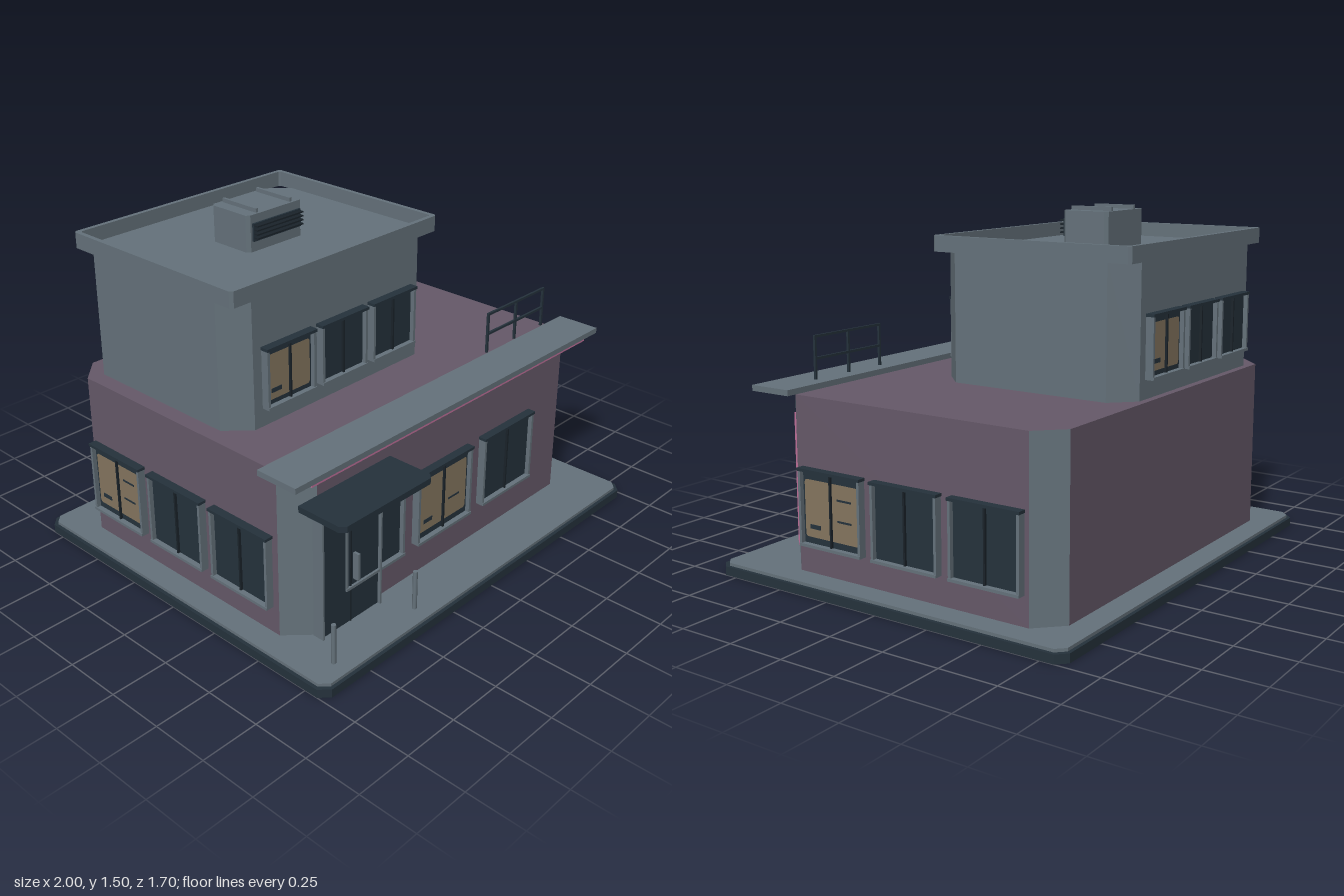
import * as THREE from 'three';

const mat = (name, color) => {
  const m = new THREE.MeshStandardMaterial({ color });
  m.name = name;
  return m;
};

export function createModel() {
  const slate = mat('slate', 0x65727b);
  const plum = mat('plum', 0x665969);
  const dark = mat('dark navy', 0x25323c);
  const black = mat('near black', 0x1a232a);
  const warm = mat('warm light', 0x85765f);
  const pink = mat('pink light', 0xc0709a);

  const model = new THREE.Group();
  model.name = 'building';

  const add = (parent, name, geo, material) => {
    const m = new THREE.Mesh(geo, material);
    m.name = name;
    parent.add(m);
    return m;
  };
  // Box given by its ranges on each axis
  const box = (parent, name, material, x0, x1, y0, y1, z0, z1) => {
    const m = add(parent, name, new THREE.BoxGeometry(x1 - x0, y1 - y0, z1 - z0), material);
    m.position.set((x0 + x1) / 2, (y0 + y1) / 2, (z0 + z1) / 2);
    return m;
  };
  // Plan outline with cut corners (front corners cf, back corners cb)
  const outline = (x0, x1, z0, z1, cf, cb = cf) => [
    [x0 + cf, z1], [x1 - cf, z1], [x1, z1 - cf], [x1, z0 + cb],
    [x1 - cb, z0], [x0 + cb, z0], [x0, z0 + cb], [x0, z1 - cf],
  ].map(([x, z]) => new THREE.Vector2(x, -z));
  const prism = (points, y0, y1, hole) => {
    const shape = new THREE.Shape(points);
    if (hole) shape.holes.push(new THREE.Path(hole));
    const g = new THREE.ExtrudeGeometry(shape, { depth: y1 - y0, bevelEnabled: false });
    return g.rotateX(-Math.PI / 2).translate(0, y0, 0);
  };

  // Base and paving
  add(model, 'base', prism(outline(-1, 1, -0.85, 0.85, 0.04), 0, 0.037), dark);
  add(model, 'paving', prism(outline(-0.985, 0.985, -0.835, 0.835, 0.035), 0.037, 0.05), slate);

  // Ground floor: plum walls, slate cut corners
  const lower = prism(outline(-0.88, 0.88, -0.73, 0.6, 0.105), 0.05, 0.78);
  lower.clearGroups();
  const n = lower.attributes.normal;
  for (let i = 0; i < n.count; i += 3) {
    const corner = Math.abs(n.getX(i)) > 0.3 && Math.abs(n.getZ(i)) > 0.3;
    lower.addGroup(i, 3, corner ? 1 : 0);
  }
  add(model, 'groundFloor', lower, [plum, slate]);

  // Upper floor with a square parapet ring
  add(model, 'upperFloor', prism(outline(-0.81, 0.325, -0.7, 0.213, 0.095), 0.78, 1.325), slate);
  add(model, 'parapet', prism(outline(-0.822, 0.337, -0.712, 0.225, 0.012), 1.32, 1.387,
    outline(-0.802, 0.317, -0.692, 0.205, 0.008)), slate);

  // Window facing +z, centred on x = 0, standing on y = 0
  const roundRect = (w, h, r) => {
    const s = new THREE.Shape();
    const a = w / 2 - r, b = h / 2 - r;
    s.absarc(a, b, r, 0, Math.PI / 2);
    s.absarc(-a, b, r, Math.PI / 2, Math.PI);
    s.absarc(-a, -b, r, Math.PI, Math.PI * 1.5);
    s.absarc(a, -b, r, Math.PI * 1.5, Math.PI * 2);
    return new THREE.ShapeGeometry(s, 3);
  };
  const makeWindow = (w, h, lit, shelves) => {
    const g = new THREE.Group();
    g.name = lit ? 'litWindow' : 'window';
    const a = w / 2, t = 0.012;
    box(g, 'pane', dark, -a + t, a - t, t, h - t, -0.01, 0.015);
    for (const s of [-1, 1]) {
      const c = s * (a - t / 2);
      box(g, 'frameSide', slate, c - t / 2, c + t / 2, 0, h - t, -0.01, 0.034);
    }
    box(g, 'sill', slate, -a, a, 0, t, -0.01, 0.038);
    box(g, 'lintel', dark, -a - 0.003, a + 0.003, h - t, h, -0.01, 0.038);
    box(g, 'mullion', black, -0.004, 0.004, t, h - t, 0.01, 0.026);
    if (lit) {
      const glow = add(g, 'glow', roundRect(w - 0.04, h * 0.74, 0.014), warm);
      glow.position.set(0, h * 0.49, 0.0165);
      const bx = -w * 0.27;
      box(g, 'desk', dark, bx - 0.027, bx + 0.027, h * 0.23, h * 0.23 + 0.018, 0.015, 0.0185);
      for (const f of shelves) {
        box(g, 'shelf', dark, w * 0.21 - 0.036, w * 0.21 + 0.036, h * f, h * f + 0.008, 0.015, 0.0185);
      }
    }
    return g;
  };
  // Row of three windows along a wall; lit is the index of the lit one
  const windowRow = (name, x, y, z, turn, step, w, h, lit, shelves) => {
    const row = new THREE.Group();
    row.name = name;
    for (let i = 0; i < 3; i++) {
      const win = makeWindow(w, h, i === lit, shelves);
      win.position.x = (i - 1) * step;
      row.add(win);
    }
    row.position.set(x, y, z);
    row.rotation.y = turn;
    model.add(row);
  };
  const q = Math.PI / 2;
  windowRow('frontWindows', -0.052, 0.203, 0.6, 0, 0.428, 0.345, 0.327, 1, [0.38]);
  windowRow('leftWindows', 0.88, 0.17, -0.07, q, 0.375, 0.32, 0.322, 0, [0.38, 0.65]);
  windowRow('rightWindows', -0.88, 0.17, -0.07, -q, 0.375, 0.32, 0.322, 0, [0.38, 0.65]);
  windowRow('upperFrontWindows', -0.242, 0.858, 0.213, 0, 0.299, 0.262, 0.26, 0, []);
  windowRow('upperBackWindows', -0.242, 0.858, -0.7, Math.PI, 0.299, 0.262, 0.26, 0, []);

  // Entrance: double door, frame and handle
  box(model, 'door', dark, -0.782, -0.463, 0.05, 0.6, 0.59, 0.628);
  for (const x of [-0.79, -0.463]) box(model, 'doorJamb', slate, x, x + 0.008, 0.05, 0.6, 0.59, 0.642);
  box(model, 'doorHead', dark, -0.793, -0.452, 0.6, 0.612, 0.59, 0.645);
  box(model, 'doorSplit', black, -0.626, -0.62, 0.05, 0.6, 0.6, 0.632);
  box(model, 'doorHandle', slate, -0.608, -0.596, 0.24, 0.36, 0.628, 0.655);

  // Entrance canopy with a warm light strip beneath
  add(model, 'entranceCanopy', prism(outline(-0.873, -0.37, 0.6, 0.823, 0.022, 0.001), 0.65, 0.676), dark);
  box(model, 'canopyLight', warm, -0.83, -0.41, 0.642, 0.65, 0.77, 0.805);

  // Bollards by the door
  for (const x of [-0.857, -0.39]) {
    const b = add(model, 'bollard', new THREE.CylinderGeometry(0.01, 0.01, 0.175, 10), slate);
    b.position.set(x, 0.1375, 0.76);
  }

  // Front ledge with pink light strips
  box(model, 'ledge', slate, -0.952, 0.946, 0.786, 0.81, 0.473, 0.668);
  box(model, 'ledgeLight', pink, -0.865, 0.858, 0.775, 0.786, 0.652, 0.664);
  const strip = add(model, 'cornerLight', new THREE.BoxGeometry(0.01, 0.56, 0.008), pink);
  strip.position.set(0.822, 0.41, 0.557);
  strip.rotation.y = Math.PI / 4;

  // Terrace railing
  for (const x of [0.38, 0.575, 0.772]) {
    box(model, 'railPost', dark, x - 0.005, x + 0.005, 0.825, 1.005, 0.48, 0.49);
  }
  for (const y of [0.91, 1.0]) {
    box(model, 'rail', dark, 0.376, 0.776, y - 0.005, y + 0.005, 0.48, 0.49);
  }

  // Rooftop air unit with louvres and top ribs
  add(model, 'airUnit', prism(outline(-0.398, -0.093, -0.353, -0.137, 0.014), 1.32, 1.48), slate);
  box(model, 'airGrille', dark, -0.375, -0.112, 1.37, 1.445, -0.14, -0.128);
  for (let i = 0; i < 4; i++) {
    const y = 1.382 + i * 0.017;
    box(model, 'louvre', black, -0.372, -0.115, y, y + 0.006, -0.13, -0.11);
  }
  for (const x of [-0.338, -0.151]) {
    box(model, 'airUnitRib', slate, x - 0.006, x + 0.006, 1.48, 1.497, -0.343, -0.147);
  }

  return model;
}
